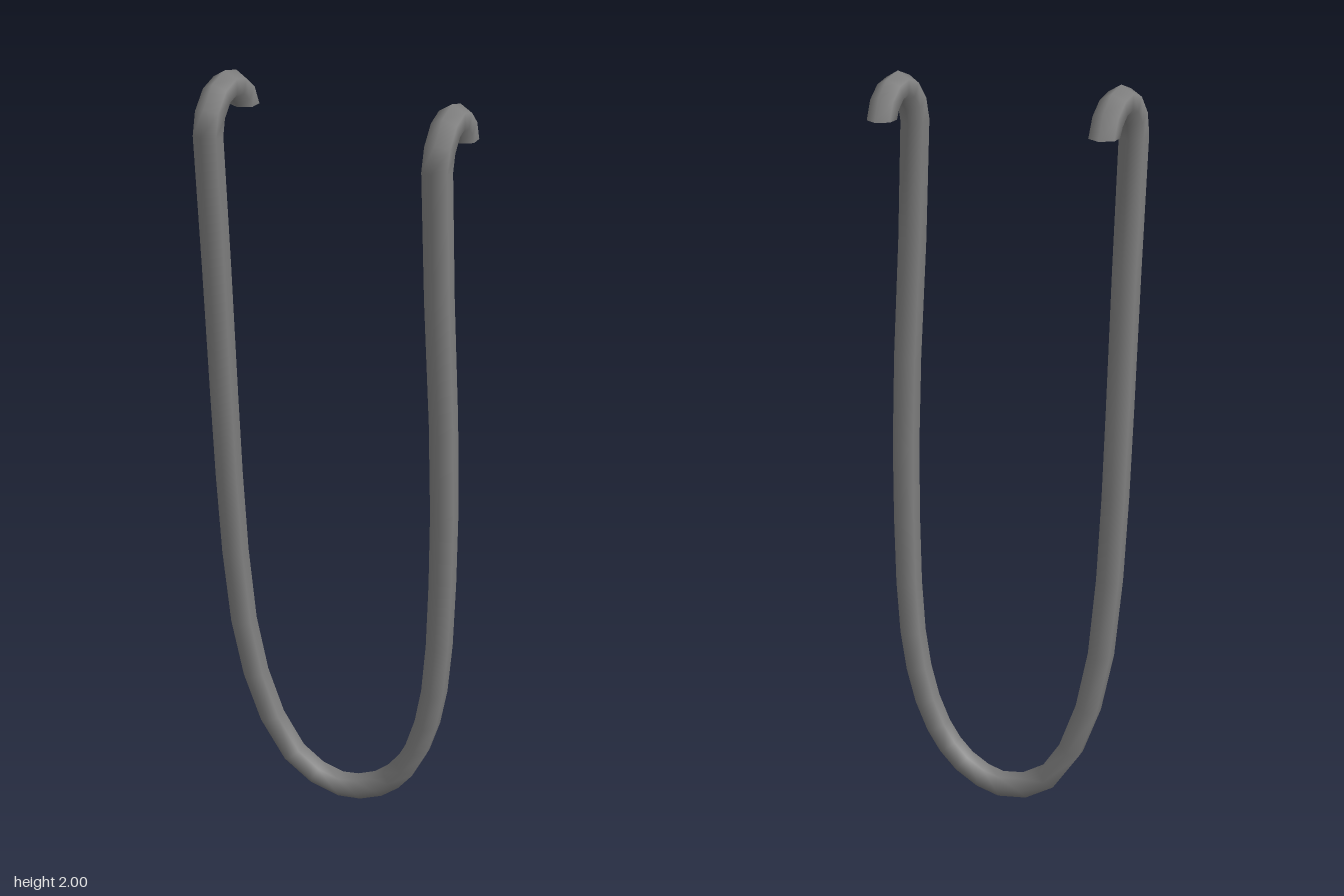
import * as THREE from 'three';

const SIDES = 6, RADIUS = 0.035;

// Hook centreline as [y, z], from the free tip over the crest to the leg
const HOOK = [[1.9, -0.09], [1.933, -0.073], [1.957, -0.04], [1.965, 0], [1.952, 0.043], [1.916, 0.078], [1.87, 0.091]];

// Centreline of the U as [x, y], one leg down and the other up
const U_BEND = [
  [-0.299, 1.55], [-0.299, 1.2], [-0.298, 0.97], [-0.293, 0.74], [-0.279, 0.52], [-0.25, 0.35],
  [-0.205, 0.21], [-0.14, 0.1], [-0.069, 0.049], [0.003, 0.032], [0.06, 0.043], [0.118, 0.073],
  [0.163, 0.115], [0.2, 0.168], [0.235, 0.245], [0.262, 0.34], [0.28, 0.45], [0.291, 0.6],
  [0.296, 0.79], [0.297, 1], [0.29, 1.25], [0.274, 1.56],
];

// The legs lean forward as they rise
const leanZ = (y) => 0.026 + 0.0345 * (y - 0.032);

function hookPoints(x, drop, scale) {
  return HOOK.map(([y, z]) => new THREE.Vector3(x, y - drop, z * scale));
}

// Hexagonal rod swept along a path, with corners facing along z on the legs
function sweepRod(path) {
  const positions = [], index = [];
  const up = new THREE.Vector3(0, 1, 0);
  const last = path.length - 1;
  const tangents = path.map((p, i) => {
    if (i === 0) return up.clone();
    if (i === last) return up.clone().negate();
    const before = p.clone().sub(path[i - 1]).normalize();
    return path[i + 1].clone().sub(p).normalize().add(before).normalize();
  });

  const side = new THREE.Vector3(1, 0, 0);
  const turn = new THREE.Quaternion();
  path.forEach((p, i) => {
    if (i) side.applyQuaternion(turn.setFromUnitVectors(tangents[i - 1], tangents[i]));
    const normal = side.clone().cross(tangents[i]).normalize();
    for (let j = 0; j < SIDES; j++) {
      const a = (j / SIDES) * Math.PI * 2;
      const v = p.clone().addScaledVector(normal, RADIUS * Math.cos(a)).addScaledVector(side, RADIUS * Math.sin(a));
      positions.push(v.x, v.y, v.z);
    }
  });
  for (let i = 0; i < last; i++) {
    for (let j = 0; j < SIDES; j++) {
      const k = (j + 1) % SIDES;
      const a = i * SIDES + j, b = i * SIDES + k;
      index.push(a, b, b + SIDES, a, b + SIDES, a + SIDES);
    }
  }

  // Flat ends use their own corners so their edges stay sharp
  for (const ring of [0, last]) {
    const base = positions.length / 3;
    positions.push(...positions.slice(ring * SIDES * 3, (ring + 1) * SIDES * 3));
    for (let j = 1; j < SIDES - 1; j++) {
      if (ring === 0) index.push(base, base + j + 1, base + j);
      else index.push(base, base + j, base + j + 1);
    }
  }

  const geometry = new THREE.BufferGeometry();
  geometry.setAttribute('position', new THREE.Float32BufferAttribute(positions, 3));
  geometry.setIndex(index);
  geometry.computeVertexNormals();
  return geometry;
}

export function createModel() {
  const group = new THREE.Group();
  group.name = 'hookedHanger';

  const path = [
    ...hookPoints(-0.3, 0, 1),
    ...U_BEND.map(([x, y]) => new THREE.Vector3(x, y, leanZ(y))),
    ...hookPoints(0.26, 0.014, 0.88).reverse(),
  ];
  const rod = new THREE.Mesh(sweepRod(path), new THREE.MeshStandardMaterial({ color: 0x808080 }));
  rod.name = 'bentRod';
  group.add(rod);
  return group;
}
